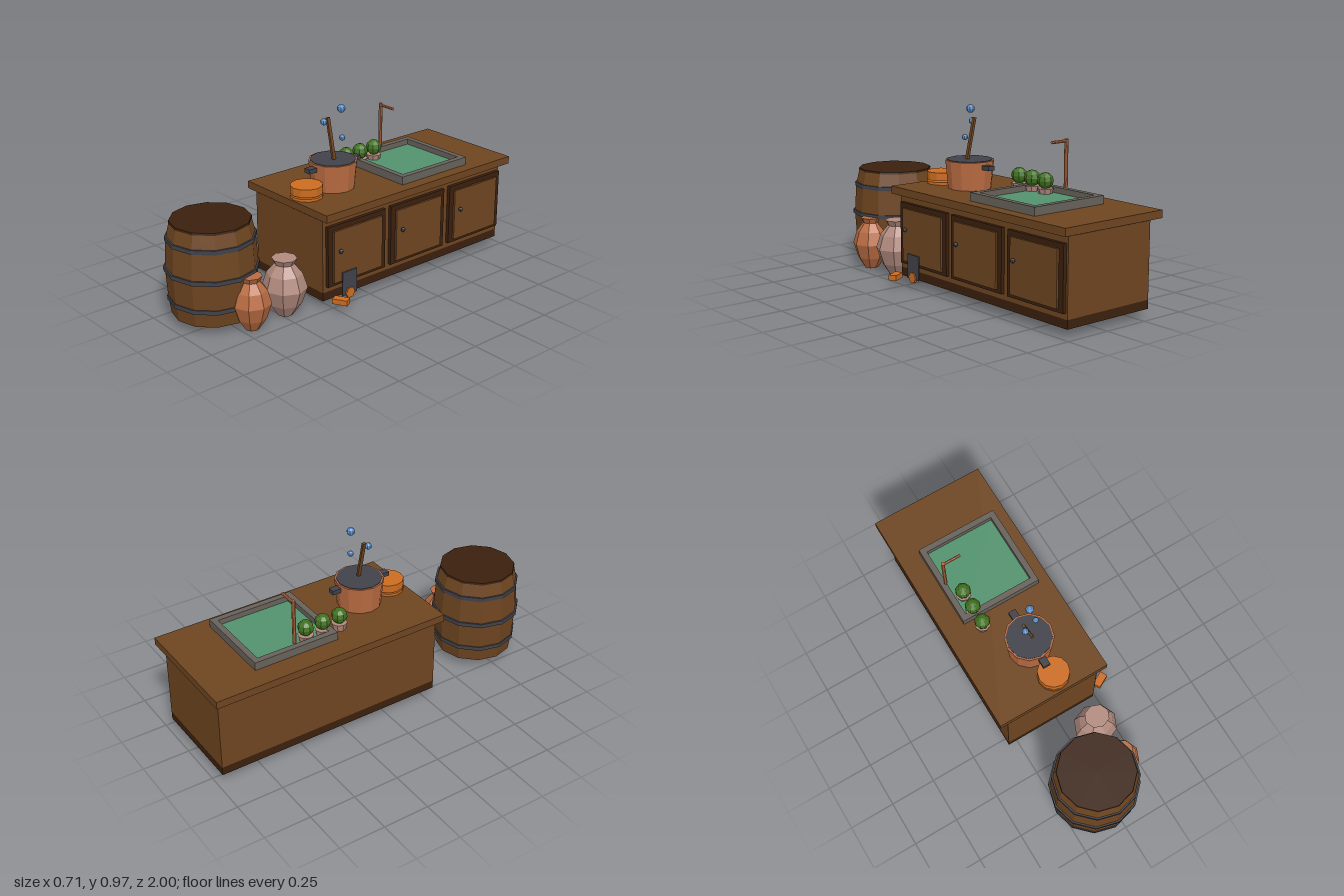
import * as THREE from 'three';

const paint = (name, color) => {
  const m = new THREE.MeshStandardMaterial({ color });
  m.name = name;
  return m;
};

export function createModel() {
  const wood = paint('wood', 0x6e4520);
  const darkWood = paint('dark wood', 0x3b200d);
  const iron = paint('iron', 0x41424a);
  const copper = paint('copper', 0xba6c42);
  const orange = paint('orange', 0xcc6c20);
  const clay = paint('pale clay', 0xb18a7e);
  const leaf = paint('leaf green', 0x40701e);
  const stone = paint('stone', 0x67615a);
  const water = paint('water', 0x53926e);
  const bubble = paint('bubble blue', 0x5a8cc6);

  const model = new THREE.Group();
  model.name = 'cookingCounter';

  // Adds a faceted mesh
  function add(name, geo, mat, x = 0, y = 0, z = 0, parent = model) {
    const g = geo.index ? geo.toNonIndexed() : geo;
    g.computeVertexNormals();
    const mesh = new THREE.Mesh(g, mat);
    mesh.name = name;
    mesh.position.set(x, y, z);
    parent.add(mesh);
    return mesh;
  }
  // Box from its minimum and maximum corners
  const box = (name, mat, [x0, y0, z0], [x1, y1, z1], parent) =>
    add(name, new THREE.BoxGeometry(x1 - x0, y1 - y0, z1 - z0), mat,
      (x0 + x1) / 2, (y0 + y1) / 2, (z0 + z1) / 2, parent);
  // Upright cylinder between two heights
  const drum = (name, mat, rTop, rBottom, y0, y1, x, z, sides = 12, parent) =>
    add(name, new THREE.CylinderGeometry(rTop, rBottom, y1 - y0, sides), mat, x, (y0 + y1) / 2, z, parent);
  // Turned shape from [radius, height] pairs
  const turned = (points, sides) =>
    new THREE.LatheGeometry(points.map(([r, y]) => new THREE.Vector2(r, y)), sides);

  // Counter body
  box('plinth', darkWood, [-0.305, 0.05, -0.97], [0.23, 0.095, 0.3]);
  box('cabinet', wood, [-0.305, 0.095, -0.97], [0.23, 0.485, 0.3]);
  box('worktop', wood, [-0.355, 0.495, -1], [0.28, 0.535, 0.315]);

  // Three doors: dark frame, raised panel and knob
  for (const z of [0.087, -0.338, -0.766]) {
    const door = new THREE.Group();
    door.name = 'door';
    door.position.z = z;
    model.add(door);
    box('doorBack', darkWood, [0.23, 0.125, -0.193], [0.249, 0.452, 0.193], door);
    box('doorPanel', wood, [0.249, 0.143, -0.162], [0.26, 0.425, 0.162], door);
    add('doorKnob', new THREE.SphereGeometry(0.012, 8, 6), iron, 0.272, 0.315, 0.128, door);
  }

  // Sink: four stone rims around the water
  const rim = 0.032;
  box('sinkRimLeft', stone, [0.215 - rim, 0.535, -0.725], [0.215, 0.578, -0.255]);
  box('sinkRimRight', stone, [-0.238, 0.535, -0.725], [-0.238 + rim, 0.578, -0.255]);
  box('sinkRimFront', stone, [-0.238 + rim, 0.535, -0.255 - rim], [0.215 - rim, 0.578, -0.255]);
  box('sinkRimBack', stone, [-0.238 + rim, 0.535, -0.725], [0.215 - rim, 0.578, -0.725 + rim]);
  box('sinkWater', water, [-0.238 + rim, 0.535, -0.725 + rim], [0.215 - rim, 0.548, -0.255 - rim]);

  // Tap
  drum('tapPost', copper, 0.01, 0.01, 0.586, 0.83, -0.21, -0.487, 8);
  add('tapSpout', new THREE.CylinderGeometry(0.008, 0.008, 0.1, 8).rotateZ(Math.PI / 2),
    copper, -0.161, 0.82, -0.487);

  // Potted herbs
  for (const z of [-0.195, -0.293, -0.392]) {
    drum('herbPot', clay, 0.042, 0.032, 0.535, 0.575, -0.16, z, 8);
    add('herbLeaves', new THREE.SphereGeometry(0.042, 8, 6), leaf, -0.16, 0.613, z);
  }

  // Cooking pot with handles and stirring stick
  drum('pot', copper, 0.128, 0.114, 0.535, 0.683, -0.012, 0.025);
  drum('potContents', iron, 0.119, 0.119, 0.68, 0.686, -0.012, 0.025);
  for (const z of [0.173, -0.123]) {
    box('potHandle', iron, [-0.032, 0.645, z - 0.024], [0.008, 0.668, z + 0.024]);
  }
  const stick = add('stirringStick', new THREE.BoxGeometry(0.014, 0.25, 0.018), wood, -0.019, 0.776, 0.03);
  stick.rotation.z = 0.22;

  // Rising bubbles
  for (const [x, y, z, r] of [[0.012, 0.952, -0.01, 0.022], [-0.051, 0.878, 0.053, 0.018], [0.037, 0.806, 0.005, 0.016]]) {
    add('bubble', new THREE.SphereGeometry(r, 8, 6), bubble, x, y, z);
  }

  // Round cheese in two layers
  drum('cheeseBase', orange, 0.084, 0.084, 0.535, 0.549, 0.013, 0.222);
  drum('cheeseTop', orange, 0.084, 0.084, 0.557, 0.6, 0.013, 0.222);

  // Barrel with hoops and lid
  const bx = -0.065, bz = 0.762;
  const staves = [[0, 0.05], [0.208, 0.05], [0.22, 0.135], [0.23, 0.29], [0.22, 0.45], [0.2, 0.535], [0, 0.535]];
  add('barrel', turned(staves, 12), wood, bx, 0, bz);
  drum('barrelLid', darkWood, 0.202, 0.204, 0.53, 0.541, bx, bz);
  for (const [y, r] of [[0.135, 0.226], [0.292, 0.238], [0.45, 0.226]]) {
    drum('barrelHoop', iron, r, r, y - 0.011, y + 0.011, bx, bz);
  }

  // Two jars
  const jar = [[0, 0.005], [0.045, 0.005], [0.09, 0.07], [0.12, 0.155], [0.095, 0.23], [0.052, 0.28], [0.068, 0.31], [0, 0.31]];
  add('paleJar', turned(jar, 8), clay, 0.135, 0, 0.468).scale.z = 0.94;
  const smallJar = jar.map(([r, y]) => [r * 0.84, y * 0.93]);
  add('copperJar', turned(smallJar, 8), copper, 0.155, 0, 0.69);

  // Cleaver leaning on the cabinet, with a block beside it
  box('cleaverBlade', iron, [0.26, 0.06, 0.105], [0.267, 0.19, 0.2]);
  add('cleaverHandle', new THREE.CylinderGeometry(0.03, 0.03, 0.014, 6).rotateZ(Math.PI / 2),
    orange, 0.267, 0.07, 0.152);
  const block = add('block', new THREE.BoxGeometry(0.08, 0.028, 0.043), orange, 0.309, 0.066, 0.247);
  block.rotation.y = 0.5;

  return model;
}
